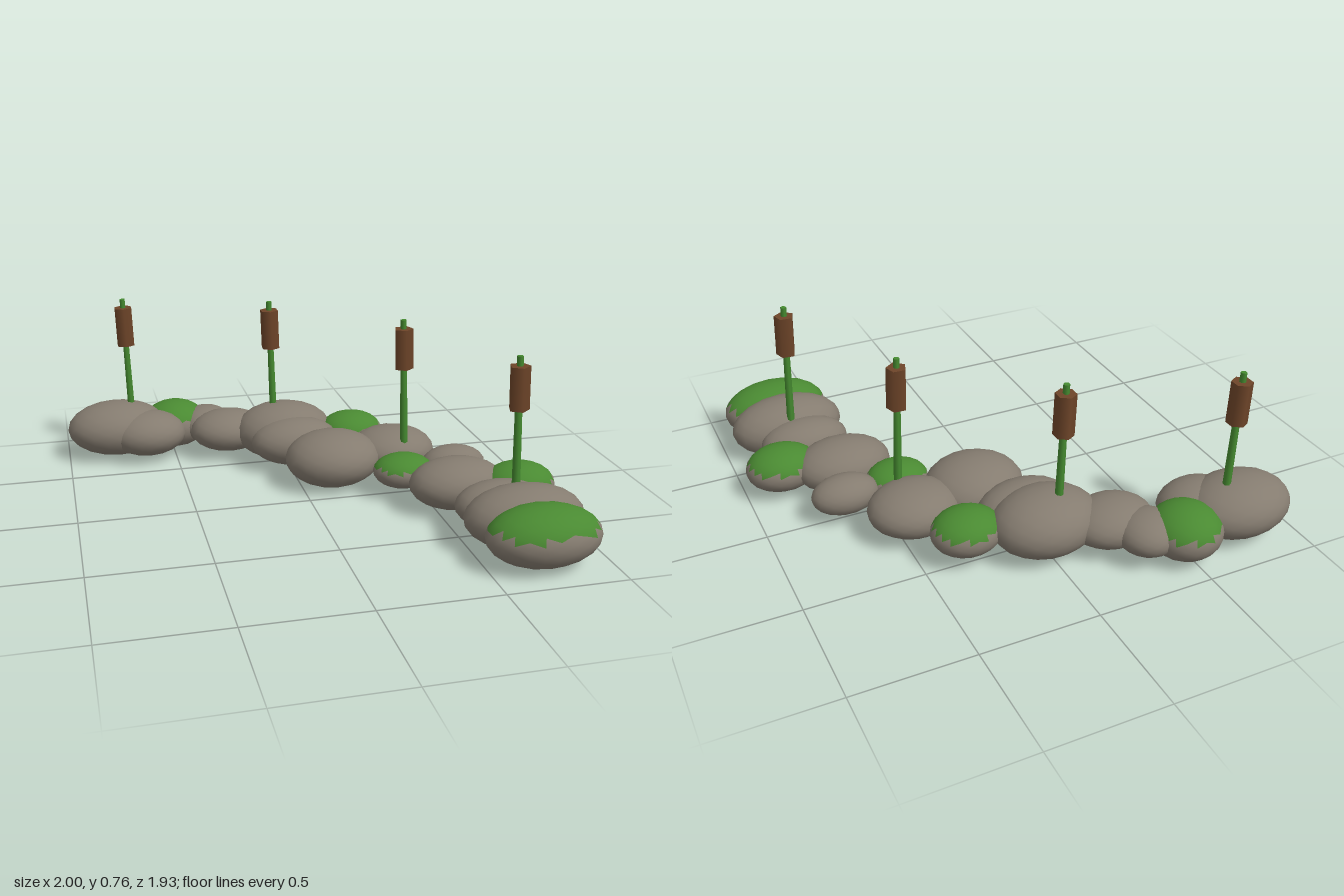
import * as THREE from 'three';

const stoneMat = new THREE.MeshStandardMaterial({ name: 'stone grey', color: 0x857c70 });
const mossMat = new THREE.MeshStandardMaterial({ name: 'moss green', color: 0x4a8a32 });
const reedMat = new THREE.MeshStandardMaterial({ name: 'reed green', color: 0x458a30 });
const headMat = new THREE.MeshStandardMaterial({ name: 'cattail brown', color: 0x6e4529 });

// Bounds of each stone: x0, x1, y0, y1, z0, z1, mossy
const STONES = [
  [-1.0, -0.53, 0.02, 0.275, -0.945, -0.59],
  [-0.81, -0.45, 0.03, 0.24, -0.84, -0.54],
  [-0.64, -0.33, 0.02, 0.245, -0.97, -0.66, true],
  [-0.47, -0.21, 0.05, 0.22, -0.9, -0.63],
  [-0.43, -0.07, 0.04, 0.235, -0.79, -0.49],
  [-0.23, 0.23, 0.015, 0.285, -0.73, -0.36],
  [-0.18, 0.23, 0.03, 0.25, -0.55, -0.27],
  [0.16, 0.46, 0.05, 0.24, -0.6, -0.34, true],
  [-0.07, 0.36, 0.01, 0.26, -0.36, 0.02],
  [0.24, 0.63, 0.03, 0.24, -0.39, -0.05],
  [0.28, 0.55, 0.05, 0.2, -0.09, 0.14, true],
  [0.51, 0.8, 0.045, 0.21, -0.1, 0.1],
  [0.38, 0.8, 0.02, 0.24, 0.07, 0.38],
  [0.68, 0.995, 0.035, 0.23, 0.17, 0.435, true],
  [0.49, 0.88, 0.03, 0.23, 0.35, 0.6],
  [0.47, 0.97, 0.01, 0.27, 0.47, 0.79],
  [0.49, 0.96, 0.015, 0.26, 0.65, 0.965, true],
];

// x, z, sides of the cattail head
const REEDS = [[-0.708, -0.775, 6], [-0.056, -0.57, 6], [0.446, -0.11, 5], [0.714, 0.522, 5]];

// Unit ball whose upper triangles go to a second material group
function mossyBall() {
  const ball = new THREE.IcosahedronGeometry(1, 3);
  const p = ball.attributes.position.array;
  const bare = [], moss = [];
  for (let i = 0; i < p.length; i += 9) {
    const y = (p[i + 1] + p[i + 4] + p[i + 7]) / 3;
    const edge = 0.32 + 0.1 * Math.sin(i * 1.7);
    (y > edge ? moss : bare).push(i / 3, i / 3 + 1, i / 3 + 2);
  }
  ball.setIndex([...bare, ...moss]);
  ball.addGroup(0, bare.length, 0);
  ball.addGroup(bare.length, moss.length, 1);
  return ball;
}

export function createModel() {
  const model = new THREE.Group();
  model.name = 'stoneBankWithCattails';
  const plain = new THREE.IcosahedronGeometry(1, 3);
  const mossy = mossyBall();

  // Winding row of flattened stones
  STONES.forEach(([x0, x1, y0, y1, z0, z1, moss]) => {
    const stone = new THREE.Mesh(moss ? mossy : plain, moss ? [stoneMat, mossMat] : stoneMat);
    stone.name = moss ? 'mossyStone' : 'stone';
    stone.position.set((x0 + x1) / 2, (y0 + y1) / 2, (z0 + z1) / 2);
    stone.scale.set((x1 - x0) / 2, (y1 - y0) / 2, (z1 - z0) / 2);
    model.add(stone);
  });

  // Slightly leaning cattails
  REEDS.forEach(([x, z, sides]) => {
    const reed = new THREE.Group();
    reed.name = 'cattail';
    const stem = new THREE.Mesh(new THREE.CylinderGeometry(0.013, 0.018, 0.62, 6), reedMat);
    stem.name = 'stem';
    stem.position.y = -0.18;
    const head = new THREE.Mesh(new THREE.CylinderGeometry(0.043, 0.043, 0.18, sides), headMat);
    head.name = 'seedHead';
    reed.add(stem, head);
    reed.position.set(x, 0.64, z);
    reed.rotation.z = 0.03;
    model.add(reed);
  });
  return model;
}
